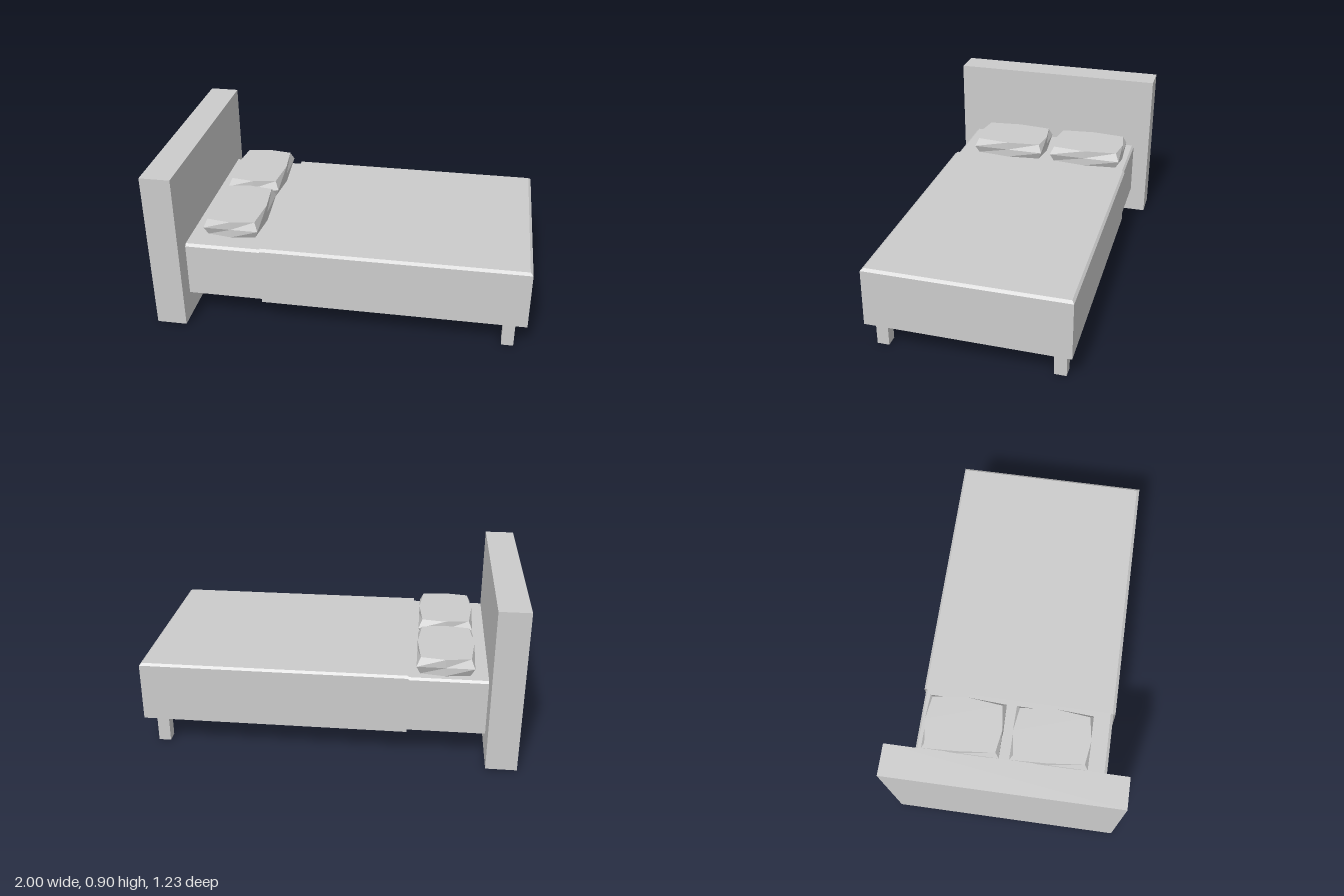
import * as THREE from 'three';

const material = new THREE.MeshStandardMaterial({ color: 0xcccccc, flatShading: true, side: THREE.DoubleSide });

// Four corners of a level rectangle, counter-clockwise from above: sides run foot, back, head, front
function rect(x0, x1, z0, z1, y) {
  return [[x1, y, z1], [x1, y, z0], [x0, y, z0], [x0, y, z1]];
}

// Joins rings from bottom to top; one side and the base may be left open
function loft(rings, { openSide = -1, base = true } = {}) {
  const pos = [];
  const tri = (a, b, c) => pos.push(...a, ...b, ...c);
  const n = rings[0].length;
  for (let i = 0; i < rings.length - 1; i++) {
    const a = rings[i], b = rings[i + 1];
    for (let j = 0; j < n; j++) {
      if (j === openSide) continue;
      const k = (j + 1) % n;
      tri(a[j], a[k], b[k]);
      tri(a[j], b[k], b[j]);
    }
  }
  const first = rings[0], last = rings[rings.length - 1];
  for (let j = 1; j < n - 1; j++) {
    tri(last[0], last[j], last[j + 1]);
    if (base) tri(first[0], first[j + 1], first[j]);
  }
  const g = new THREE.BufferGeometry();
  g.setAttribute('position', new THREE.Float32BufferAttribute(pos, 3));
  g.computeVertexNormals();
  return g;
}

// Pillow ring: corners pulled in by inset, edge midpoints at full size
function pillowRing(hx, hz, inset, y) {
  const cx = hx - inset, cz = hz - inset;
  return [[cx, y, cz], [hx, y, 0], [cx, y, -cz], [0, y, -hz],
    [-cx, y, -cz], [-hx, y, 0], [-cx, y, cz], [0, y, hz]];
}

export function createModel() {
  const bed = new THREE.Group();
  bed.name = 'bed';
  const add = (name, geometry, x = 0, y = 0, z = 0) => {
    const mesh = new THREE.Mesh(geometry, material);
    mesh.name = name;
    mesh.position.set(x, y, z);
    bed.add(mesh);
  };

  add('headboard', new THREE.BoxGeometry(0.163, 0.89, 1.23), -0.9185, 0.455, 0);

  // Mattress with bevelled long edges
  add('mattress', loft([
    rect(-0.83, 0.985, -0.523, 0.53, 0.165),
    rect(-0.83, 0.985, -0.523, 0.527, 0.459),
    rect(-0.83, 0.985, -0.512, 0.512, 0.471),
  ]));

  // Blanket: thin cover, open below and towards the headboard
  add('blanket', loft([
    rect(-0.42, 1, -0.532, 0.543, 0.155),
    rect(-0.42, 1, -0.532, 0.538, 0.471),
    rect(-0.42, 0.985, -0.52, 0.522, 0.483),
  ], { openSide: 2, base: false }));

  // Pillows: square seam around the middle, bowed top and bottom
  const pillow = loft([
    pillowRing(0.15, 0.212, 0.02, -0.047),
    pillowRing(0.15, 0.212, 0, 0),
    pillowRing(0.15, 0.212, 0.02, 0.047),
  ]);
  add('leftPillow', pillow, -0.608, 0.519, 0.207);
  add('rightPillow', pillow, -0.608, 0.519, -0.273);

  // Feet at the foot end
  const foot = new THREE.BoxGeometry(0.065, 0.18, 0.065);
  add('frontLeg', foot, 0.908, 0.09, 0.475);
  add('backLeg', foot, 0.908, 0.09, -0.463);

  return bed;
}
